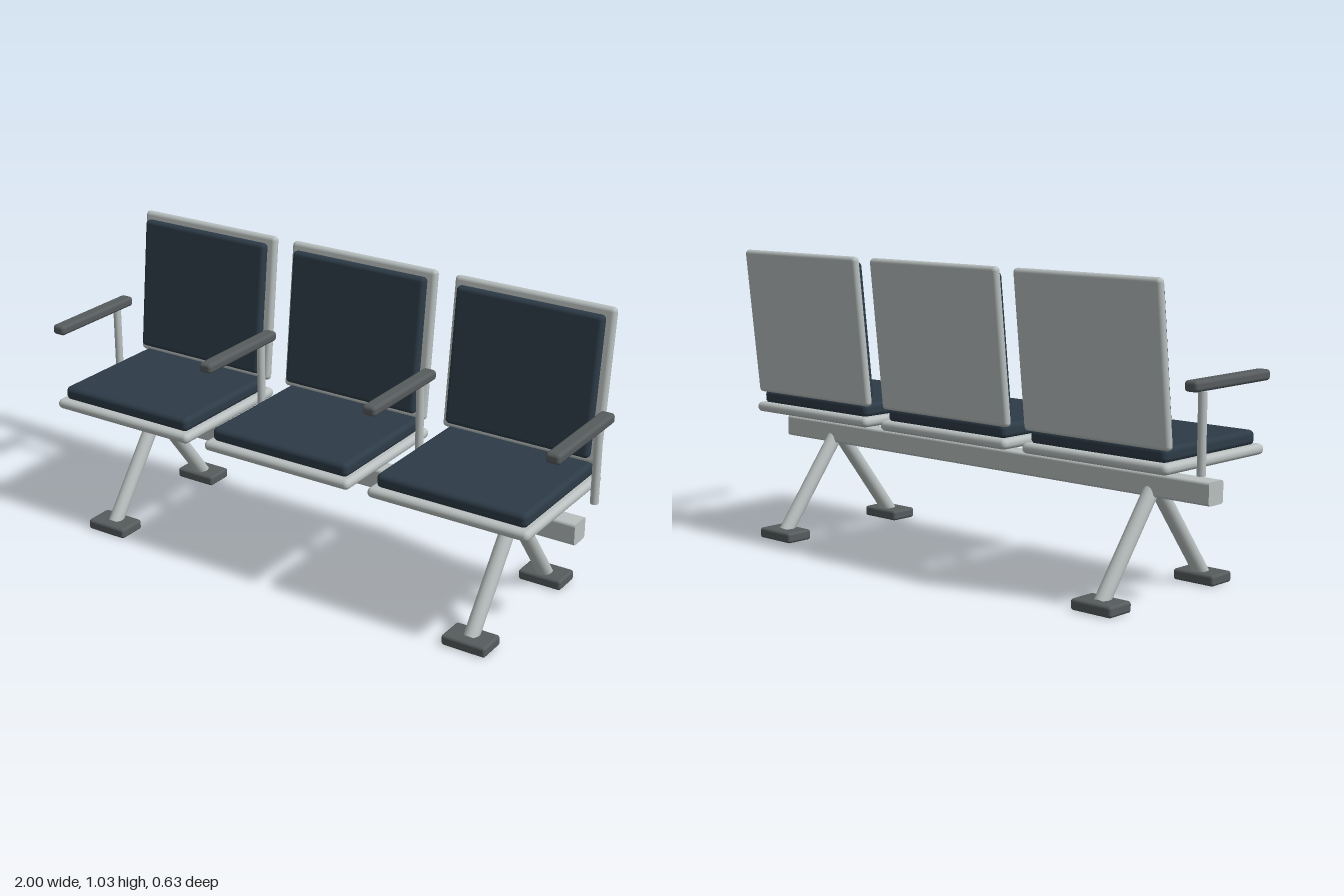
import * as THREE from 'three';
import { RoundedBoxGeometry } from 'three/addons/geometries/RoundedBoxGeometry.js';

export function createModel() {
  const model = new THREE.Group();
  model.name = 'waitingBench';

  const mat = (name, color) => {
    const m = new THREE.MeshStandardMaterial({ color });
    m.name = name;
    return m;
  };
  const metal = mat('lightMetal', 0xb9c0bf);
  const rubber = mat('darkGrey', 0x565b5d);
  const fabric = mat('navyFabric', 0x2d3b47);

  const add = (parent, name, geometry, material, x, y, z) => {
    const mesh = new THREE.Mesh(geometry, material);
    mesh.name = name;
    mesh.position.set(x, y, z);
    parent.add(mesh);
    return mesh;
  };
  const slab = (w, h, d, r) => new RoundedBoxGeometry(w, h, d, 4, r);

  // Three seats with padded cushions and tilted backs
  const seatFrame = slab(0.58, 0.035, 0.52, 0.0165);
  const seatPad = slab(0.54, 0.05, 0.475, 0.018);
  const backFrame = slab(0.58, 0.525, 0.03, 0.0145);
  const backPad = slab(0.53, 0.475, 0.035, 0.015);
  for (const x of [-0.65, 0, 0.65]) {
    const seat = new THREE.Group();
    seat.name = 'seat';
    seat.position.x = x;
    add(seat, 'seatFrame', seatFrame, metal, 0, 0.457, 0.045);
    add(seat, 'seatCushion', seatPad, fabric, 0, 0.495, 0.043);

    const back = new THREE.Group();
    back.name = 'backrest';
    back.position.set(0, 0.773, -0.216);
    back.rotation.x = -0.11;
    add(back, 'backFrame', backFrame, metal, 0, 0, 0);
    add(back, 'backCushion', backPad, fabric, 0, 0, 0.031);
    seat.add(back);
    model.add(seat);
  }

  // Armrests at both ends and between seats
  const armPad = slab(0.05, 0.035, 0.39, 0.012);
  const armPost = new THREE.CylinderGeometry(0.014, 0.014, 0.257, 20);
  for (const x of [-0.975, -0.325, 0.325, 0.975]) {
    const arm = new THREE.Group();
    arm.name = 'armrest';
    arm.position.x = x;
    add(arm, 'armPad', armPad, rubber, 0, 0.707, 0.045);
    add(arm, 'armPost', armPost, metal, 0, 0.557, -0.085);
    model.add(arm);
  }

  // Beam: square tube profile with rounded edges and flat ends
  const h = 0.0375, r = 0.01;
  const profile = new THREE.Shape();
  profile.absarc(h - r, h - r, r, 0, Math.PI / 2);
  profile.absarc(r - h, h - r, r, Math.PI / 2, Math.PI);
  profile.absarc(r - h, r - h, r, Math.PI, Math.PI * 1.5);
  profile.absarc(h - r, r - h, r, Math.PI * 1.5, Math.PI * 2);
  profile.closePath();
  const beam = new THREE.ExtrudeGeometry(profile, { depth: 1.94, bevelEnabled: false, curveSegments: 4 });
  beam.translate(0, 0, -0.97);
  beam.rotateY(Math.PI / 2);
  add(model, 'beam', beam, metal, 0, 0.3625, 0);

  // Splayed legs on foot pads
  const foot = slab(0.16, 0.037, 0.106, 0.01);
  const up = new THREE.Vector3(0, 1, 0);
  for (const x of [-0.735, 0.735]) {
    for (const side of [-1, 1]) {
      const top = new THREE.Vector3(x, 0.365, 0);
      const bottom = new THREE.Vector3(x, 0.025, side * 0.26);
      const dir = top.clone().sub(bottom);
      const leg = add(model, 'leg', new THREE.CylinderGeometry(0.026, 0.026, dir.length(), 24), metal,
        x, (top.y + bottom.y) / 2, bottom.z / 2);
      leg.quaternion.setFromUnitVectors(up, dir.normalize());
      add(model, 'foot', foot, rubber, x, 0.0185, side * 0.262);
    }
  }
  return model;
}
